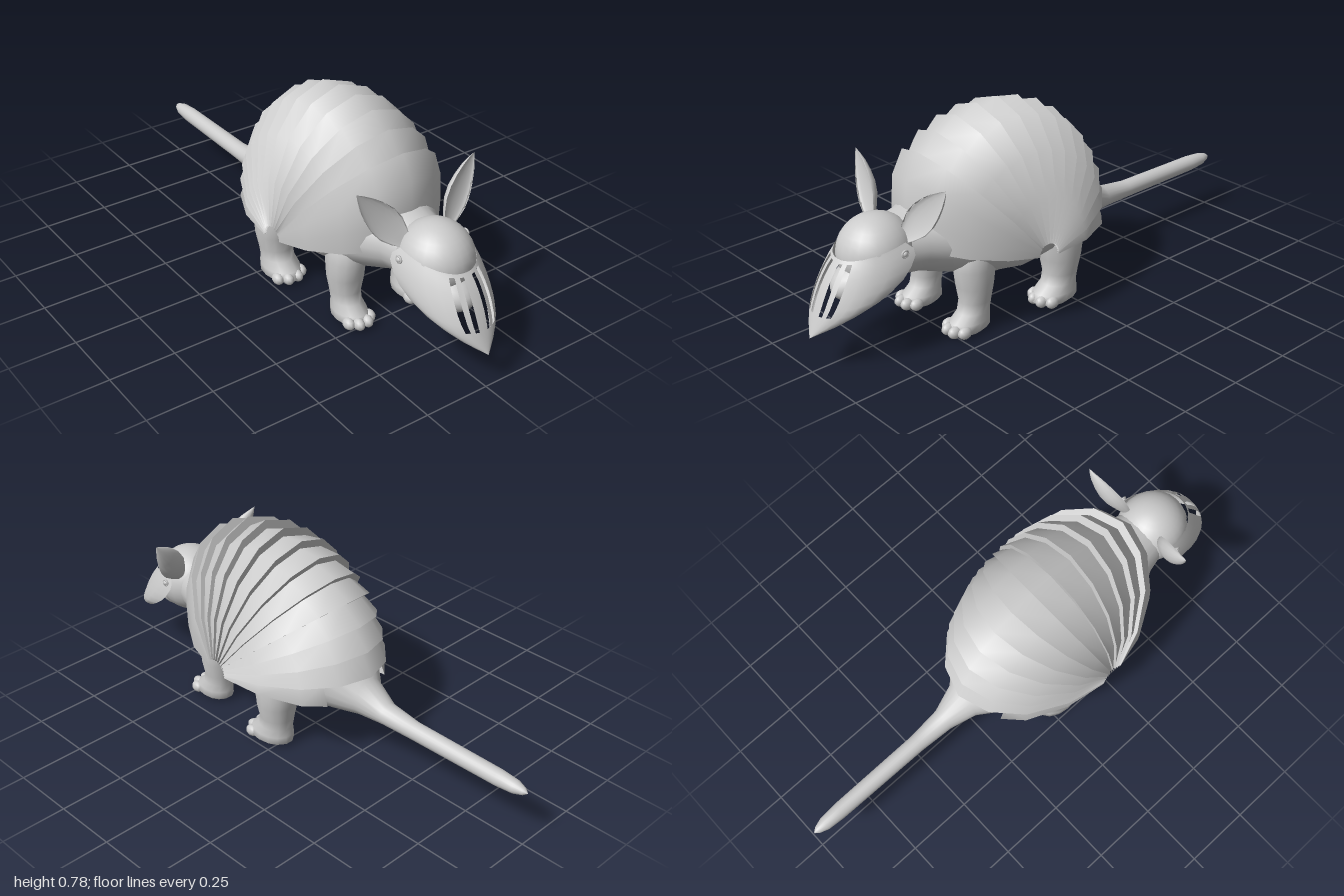
import * as THREE from 'three';

const material = new THREE.MeshStandardMaterial({ color: 0xcccccc, side: THREE.DoubleSide });
const V = (x, y, z) => new THREE.Vector3(x, y, z);

function add(parent, name, geometry) {
  const mesh = new THREE.Mesh(geometry, material);
  mesh.name = name;
  parent.add(mesh);
  return mesh;
}

// Skin a list of equal-length rows of points; skip(i, j) leaves a hole
function loft(rows, closed = true, skip = () => false) {
  const n = rows[0].length, index = [];
  for (let i = 0; i < rows.length - 1; i++) {
    for (let j = 0; j < (closed ? n : n - 1); j++) {
      if (skip(i, j)) continue;
      const k = (j + 1) % n, a = i * n + j, b = i * n + k, c = a + n, d = b + n;
      index.push(a, b, d, a, d, c);
    }
  }
  const g = new THREE.BufferGeometry().setFromPoints(rows.flat());
  g.setIndex(index);
  g.computeVertexNormals();
  return g;
}

function ring(n, point) {
  return Array.from({ length: n }, (_, j) => point(j / n * Math.PI * 2));
}

function ball(parent, name, x, y, z, rx, ry, rz, n = 20) {
  const m = add(parent, name, new THREE.SphereGeometry(1, n, Math.ceil(n * 0.7)));
  m.position.set(x, y, z);
  m.scale.set(rx, ry, rz);
  return m;
}

// Body and tail in one skin: z, centre y, half width, half height
function buildBody(parent) {
  const sections = [
    [-1, 0.222, 0.002, 0.002], [-0.985, 0.222, 0.014, 0.014], [-0.95, 0.222, 0.026, 0.025],
    [-0.88, 0.222, 0.031, 0.031], [-0.5, 0.222, 0.034, 0.034], [-0.37, 0.23, 0.044, 0.042],
    [-0.27, 0.257, 0.075, 0.07], [-0.18, 0.3, 0.15, 0.115], [-0.08, 0.355, 0.225, 0.17],
    [0.05, 0.365, 0.265, 0.2], [0.2, 0.365, 0.28, 0.217], [0.35, 0.36, 0.25, 0.185],
    [0.48, 0.36, 0.19, 0.145], [0.58, 0.365, 0.13, 0.115], [0.7, 0.365, 0.1, 0.1],
  ];
  add(parent, 'bodyAndTail', loft(sections.map(([z, cy, rx, ry]) =>
    ring(20, a => V(rx * Math.cos(a), cy + ry * Math.sin(a), z)))));
}

// Fan of overlapping armour plates turning about a hub on each side
function buildShell(parent) {
  const shell = new THREE.Group();
  shell.name = 'shell';
  parent.add(shell);
  const half = [[0.318, 0.05], [0.29, 0.21], [0.22, 0.36], [0.12, 0.46]];
  const arch = [...half.map(([x, r]) => [-x, r]), [0, 0.5], ...half.slice().reverse()];
  const flap = [[0.15, 0.425], ...half.slice(0, 3).reverse()];
  const row = (profile, degrees, sr, sx) => {
    const a = degrees * Math.PI / 180;
    return profile.map(([x, r]) => V(x * sx, 0.285 + r * sr * Math.sin(a), 0.21 + r * sr * Math.cos(a)));
  };
  const IN = [0.93, 0.965];
  const first = 50.7, step = 11.1;

  // Shoulder plate, drawn in towards the neck
  const front = [[9, 0.76, 0.98], [24, 0.83, 0.985], [39, 0.945, 0.99], [first, 1, 1]];
  add(shell, 'shoulderPlate', loft(front.map(f => row(arch, ...f)), false));
  add(shell, 'plateEdge', loft([row(arch, first, 1, 1), row(arch, first, ...IN)], false));

  for (let i = 0; i < 11; i++) {
    const a = first + i * step, b = a + step;
    add(shell, 'bandPlate', loft([row(arch, a, ...IN), row(arch, b, 1, 1)], false));
    add(shell, 'plateEdge', loft([row(arch, b, 1, 1), row(arch, b, ...IN)], false));
  }

  // Last plate is parted in the middle for the tail
  const end = first + 11 * step;
  for (const s of [-1, 1]) {
    const p = flap.map(([x, r]) => [s * x, r]);
    add(shell, 'hipFlap', loft([row(p, end, ...IN), row(p, end + step, 1, 1), row(p, end + step, ...IN)], false));
  }
}

// Leg with a flat foot and rounded toes
function buildLeg(parent, name, x, z, s) {
  const leg = new THREE.Group();
  leg.name = name;
  leg.position.set(x, 0, z);
  parent.add(leg);
  // y, half width, half depth, forward shift
  const sections = [
    [0.004, 0.01, 0.015, 0.03], [0.006, 0.045, 0.065, 0.032], [0.022, 0.06, 0.088, 0.032],
    [0.05, 0.06, 0.08, 0.025], [0.08, 0.053, 0.062, 0.008], [0.12, 0.056, 0.06, 0],
    [0.18, 0.068, 0.069, 0], [0.25, 0.07, 0.08, 0], [0.31, 0.064, 0.075, 0], [0.37, 0.03, 0.04, 0],
  ];
  add(leg, 'limb', loft(sections.map(([y, rx, rz, dz]) =>
    ring(14, a => V(s * rx * Math.cos(a), y, dz - s * rz * Math.sin(a))))));
  for (const [tx, tz] of [[-0.045, 0.085], [-0.018, 0.108], [0.018, 0.108], [0.045, 0.085]]) {
    ball(leg, 'toe', tx * s, 0.028, tz, 0.02, 0.023, 0.028, 10);
  }
}

// Curved face shield with four slots over the muzzle
function buildFaceShield(parent) {
  const centre = new THREE.CatmullRomCurve3([
    V(0, 0.387, 0.87), V(0, 0.345, 0.905), V(0, 0.285, 0.94), V(0, 0.22, 0.968), V(0, 0.175, 0.985), V(0, 0.135, 1)]);
  const edge = new THREE.CatmullRomCurve3([
    V(0.128, 0.432, 0.685), V(0.148, 0.4, 0.66), V(0.157, 0.335, 0.7), V(0.14, 0.265, 0.79),
    V(0.075, 0.19, 0.915), V(0.003, 0.138, 0.998)]);
  const cols = [0, 0.08, 0.15, 0.23, 0.31, 0.45, 0.6, 0.75, 0.88, 1];
  const across = [...cols.slice(1).reverse().map(t => -t), ...cols];
  const levels = [0, 0.05, 0.15, 0.25, 0.35, 0.45, 0.55, 0.63, 0.72, 0.82, 0.91, 1];
  const rows = levels.map(v => {
    const c = centre.getPoint(v), e = edge.getPoint(v);
    return across.map(t => {
      const a = t * Math.PI / 2, k = 1 - Math.cos(a);
      return V(e.x * Math.sin(a), c.y + (e.y - c.y) * k, c.z + (e.z - c.z) * k);
    });
  });
  const slot = (i, j) => {
    const m = Math.abs((across[j] + across[j + 1]) / 2);
    const inner = m > 0.08 && m < 0.15, outer = m > 0.23 && m < 0.31;
    return i >= 1 && i < 7 && (inner || outer);
  };
  add(parent, 'faceShield', loft(rows, false, slot));
}

// Cupped leaf-shaped ear, hollow at the front
function buildEar(parent, s) {
  const base = V(0.095, 0.435, 0.655), tip = V(0.25, 0.632, 0.592);
  const sections = [[0, 0.025], [0.12, 0.04], [0.28, 0.054], [0.45, 0.055], [0.62, 0.046], [0.78, 0.032], [0.91, 0.015], [1, 0.001]];
  const rows = sections.map(([t, w]) => {
    const c = base.clone().lerp(tip, t);
    return ring(16, a => {
      const d = -Math.abs(Math.sin(a)) * w * (Math.sin(a) > 0 ? 0.3 : 0.75);
      return V(s * (c.x + 0.79 * w * Math.cos(a)), c.y - 0.61 * w * Math.cos(a), c.z + 0.012 + d);
    });
  });
  add(parent, s > 0 ? 'leftEar' : 'rightEar', loft(rows));
}

function buildHead(parent) {
  const head = new THREE.Group();
  head.name = 'head';
  parent.add(head);
  ball(head, 'skull', 0, 0.37, 0.715, 0.132, 0.132, 0.14, 24);
  ball(head, 'muzzle', 0, 0.295, 0.77, 0.085, 0.07, 0.13).rotation.x = 0.25;
  buildFaceShield(head);
  for (const s of [-1, 1]) {
    buildEar(head, s);
    ball(head, 'eye', s * 0.144, 0.4, 0.7, 0.01, 0.011, 0.011, 10);
    const rim = add(head, 'eyeRim', new THREE.TorusGeometry(0.012, 0.004, 6, 14));
    rim.position.set(s * 0.145, 0.4, 0.7);
    rim.rotation.y = Math.PI / 2;
  }
}

export function createModel() {
  const model = new THREE.Group();
  model.name = 'armadillo';
  buildBody(model);
  buildShell(model);
  for (const s of [-1, 1]) {
    const side = s > 0 ? 'left' : 'right';
    buildLeg(model, side + 'FrontLeg', s * 0.137, 0.4, 1);
    buildLeg(model, side + 'HindLeg', s * 0.178, 0.025, 1.13);
  }
  buildHead(model);
  return model;
}
